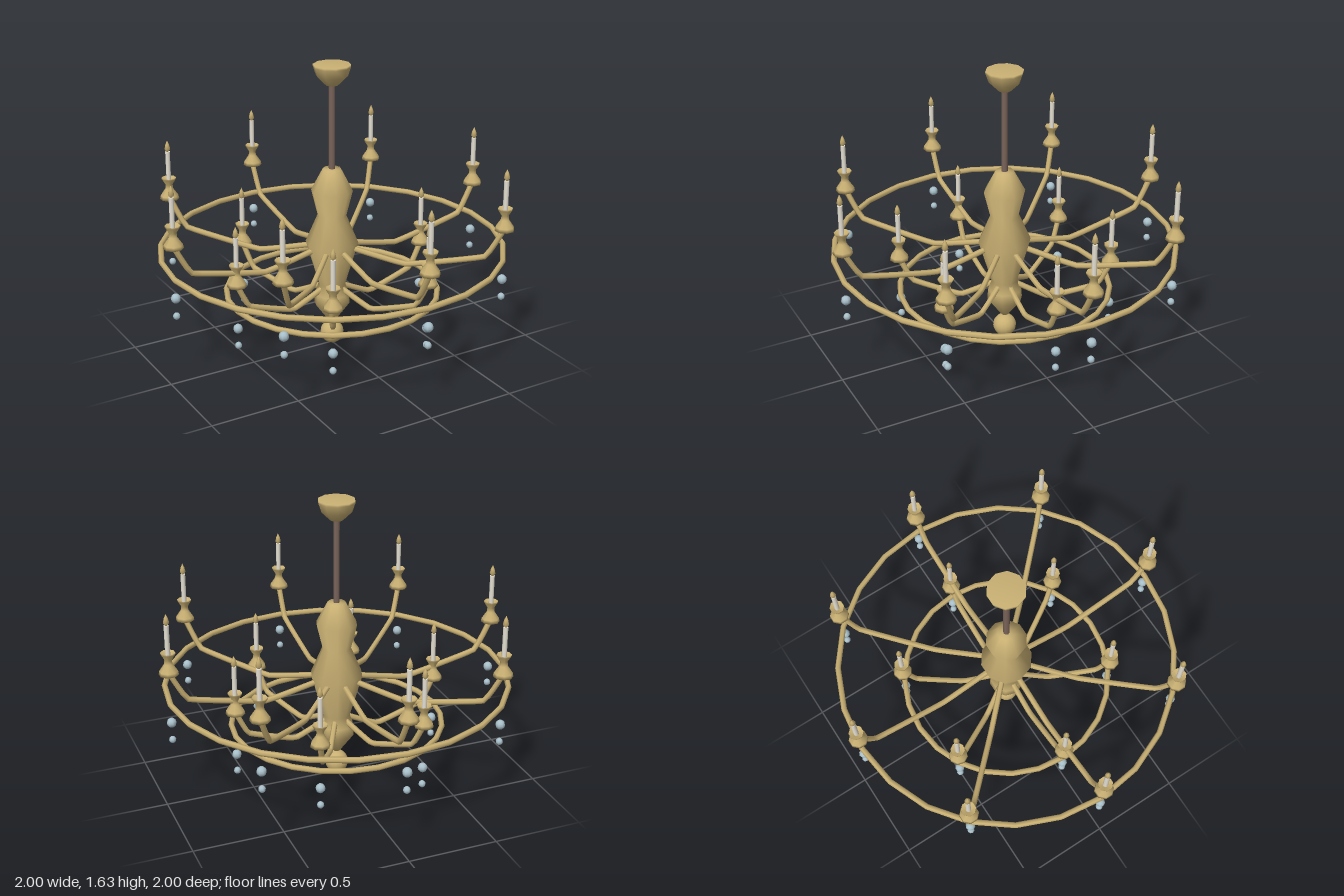
import * as THREE from 'three';

const brass = new THREE.MeshStandardMaterial({ name: 'brass', color: 0xc9b073 });
const bronze = new THREE.MeshStandardMaterial({ name: 'dark bronze', color: 0x7a645a });
const wax = new THREE.MeshStandardMaterial({ name: 'wax', color: 0xe6e0d2 });
const crystal = new THREE.MeshStandardMaterial({ name: 'crystal', color: 0xa9c0ca });

const lathe = (profile, sides, phase = 0) =>
  new THREE.LatheGeometry(profile.map(([r, y]) => new THREE.Vector2(r, y)), sides, phase);

function add(parent, name, geometry, material, x = 0, y = 0, z = 0) {
  const mesh = new THREE.Mesh(geometry, material);
  mesh.name = name;
  mesh.position.set(x, y, z);
  parent.add(mesh);
  return mesh;
}

// Shared light and drop shapes; heights are measured from the foot of the cup
const cupGeo = lathe([[0, 0], [0.054, 0], [0.05, 0.02], [0.022, 0.062], [0.02, 0.085],
  [0.04, 0.118], [0.04, 0.126], [0.016, 0.108], [0, 0.108]], 8, Math.PI / 8);
const candleGeo = new THREE.CylinderGeometry(0.014, 0.014, 0.18, 8);
const flameGeo = lathe([[0, 0], [0.017, 0.022], [0.011, 0.048], [0, 0.072]], 8);
const dropGeo = new THREE.SphereGeometry(0.027, 8, 6);
const smallDropGeo = new THREE.SphereGeometry(0.02, 8, 6);

// One tier: a hoop, and evenly spaced arms with candles and hanging drops
function makeTier(name, count, radius, hoopY, cupY, armPoints) {
  const tier = new THREE.Group();
  tier.name = name;
  const hoop = add(tier, 'hoop', new THREE.TorusGeometry(radius, 0.016, 6, 24), brass, 0, hoopY, 0);
  hoop.rotation.x = Math.PI / 2;

  const path = new THREE.CatmullRomCurve3(
    armPoints.map(([x, y]) => new THREE.Vector3(x, y, 0)), false, 'catmullrom', 0.12);
  const armGeo = new THREE.TubeGeometry(path, 20, 0.016, 6);

  for (let i = 0; i < count; i++) {
    const branch = new THREE.Group();
    branch.name = 'branch';
    branch.rotation.y = (i / count) * Math.PI * 2;
    add(branch, 'arm', armGeo, brass);
    add(branch, 'candleCup', cupGeo, brass, radius, cupY, 0);
    add(branch, 'candle', candleGeo, wax, radius, cupY + 0.19, 0);
    add(branch, 'flame', flameGeo, brass, radius, cupY + 0.273, 0);
    add(branch, 'upperDrop', dropGeo, crystal, radius, hoopY - 0.104, 0);
    add(branch, 'lowerDrop', smallDropGeo, crystal, radius, hoopY - 0.206, 0);
    tier.add(branch);
  }
  return tier;
}

export function createModel() {
  const model = new THREE.Group();
  model.name = 'chandelier';

  // Turned central column
  add(model, 'column', lathe([[0, 0.13], [0.02, 0.14], [0.1, 0.25], [0.095, 0.31], [0.075, 0.37],
    [0.147, 0.62], [0.08, 0.78], [0.115, 0.925], [0.05, 1.05], [0, 1.05]], 10, Math.PI / 10), brass);

  // Ball finial
  add(model, 'finial', new THREE.SphereGeometry(0.066, 16, 12), brass, 0, 0.068, 0);

  // Hanging rod and ceiling canopy
  add(model, 'rod', new THREE.CylinderGeometry(0.018, 0.018, 0.52, 8), bronze, 0, 1.29, 0);
  add(model, 'canopy', lathe([[0, 1.52], [0.035, 1.52], [0.085, 1.57], [0.102, 1.62],
    [0.102, 1.632], [0, 1.632]], 10, Math.PI / 10), brass);

  // Two tiers of arms
  model.add(makeTier('upperTier', 8, 0.95, 0.602, 0.785,
    [[0.08, 0.6], [0.42, 0.53], [0.85, 0.62], [0.95, 0.79]]));
  model.add(makeTier('lowerTier', 6, 0.593, 0.336, 0.485,
    [[0.06, 0.35], [0.25, 0.265], [0.52, 0.35], [0.593, 0.49]]));

  return model;
}
